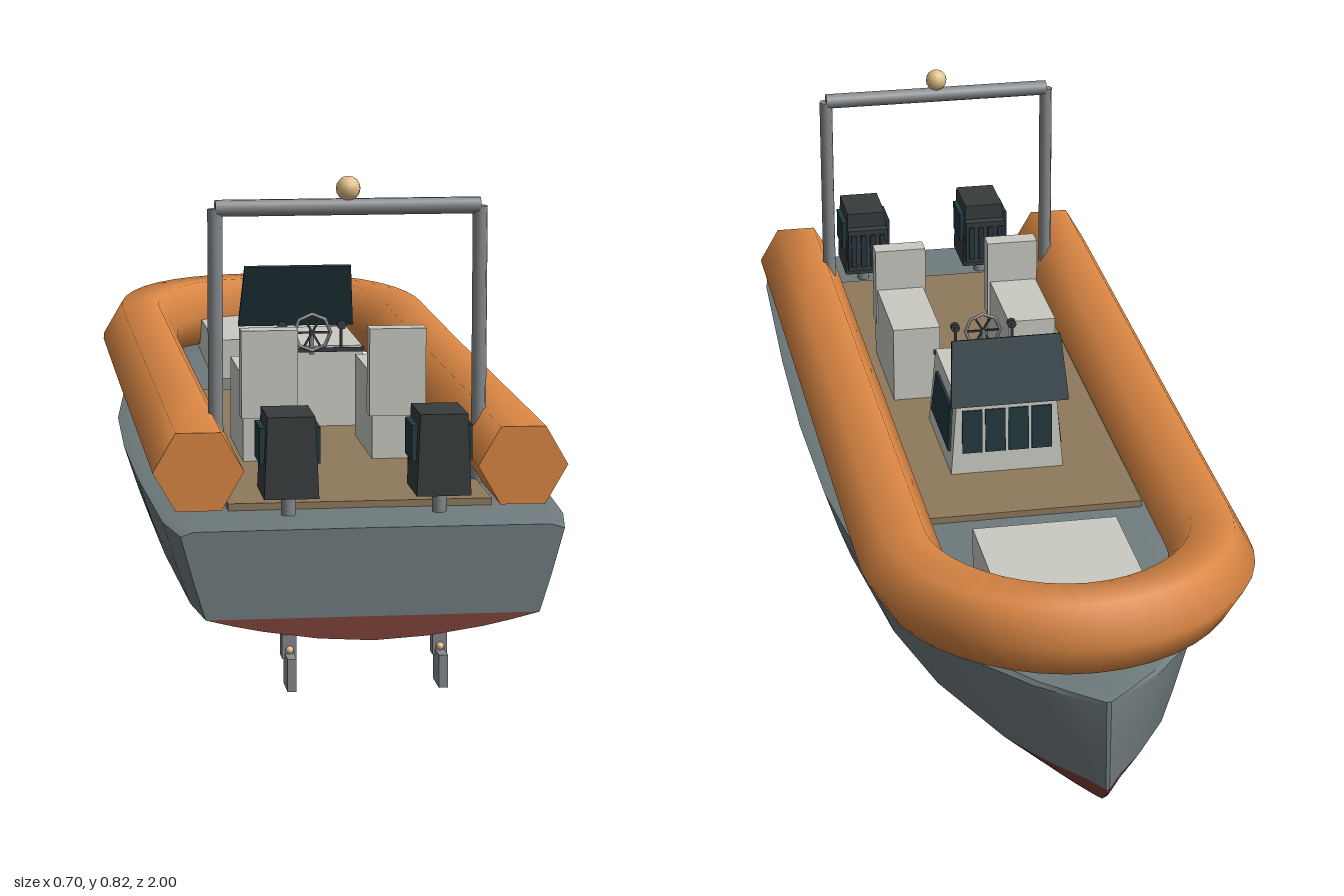
import * as THREE from 'three';
import { toCreasedNormals } from 'three/addons/utils/BufferGeometryUtils.js';

const paint = (color) => new THREE.MeshStandardMaterial({ color });
const MAT = {
  hull: paint(0x6f7b7e), bottom: paint(0x7c4038), tube: paint(0xdb8744), deck: paint(0x8f7a5c),
  white: paint(0xcacac3), dark: paint(0x373b3d), glass: paint(0x22383f), metal: paint(0x85898c), lamp: paint(0xe3c08a),
};

function add(parent, name, geo, mat, x = 0, y = 0, z = 0) {
  const m = new THREE.Mesh(geo, mat);
  m.name = name;
  m.position.set(x, y, z);
  parent.add(m);
  return m;
}

// Skin a row of rings of [x, y, z], with flat caps at both ends
function loft(rings, closed, crease) {
  const n = rings[0].length, idx = [], last = (rings.length - 1) * n;
  for (let i = 0; i < rings.length - 1; i++) {
    for (let j = 0; j < (closed ? n : n - 1); j++) {
      const a = i * n + j, b = i * n + (j + 1) % n;
      idx.push(a, a + n, b, b, a + n, b + n);
    }
  }
  for (let j = 1; j < n - 1; j++) idx.push(0, j, j + 1, last, last + j + 1, last + j);
  const g = new THREE.BufferGeometry();
  g.setAttribute('position', new THREE.Float32BufferAttribute(rings.flat(2), 3));
  g.setIndex(idx);
  return toCreasedNormals(g, crease);
}

// Box whose top face is scaled about its centre
function taperBox(w, h, d, sx, sz) {
  const g = new THREE.BoxGeometry(w, h, d), p = g.attributes.position;
  for (let i = 0; i < p.count; i++) {
    if (p.getY(i) > 0) p.setXYZ(i, p.getX(i) * sx, p.getY(i), p.getZ(i) * sz);
  }
  g.computeVertexNormals();
  return g;
}

function buildHull(boat) {
  // station: z, half beam, half chine, keel height, gunwale height
  const stations = [
    [1, 0.312, 0.272, 0.1, 0.278], [0.88, 0.332, 0.287, 0.076, 0.277], [0.5, 0.347, 0.301, 0.06, 0.275],
    [0.2, 0.352, 0.305, 0.053, 0.275], [-0.1, 0.345, 0.298, 0.052, 0.275], [-0.4, 0.314, 0.265, 0.055, 0.277],
    [-0.6, 0.268, 0.218, 0.06, 0.281], [-0.8, 0.182, 0.138, 0.069, 0.289], [-0.9, 0.108, 0.075, 0.08, 0.294],
    [-0.96, 0.048, 0.028, 0.098, 0.298], [-1, 0.004, 0.003, 0.132, 0.3],
  ];
  const CH = 0.14;
  const top = stations.map(([z, b, c, k, g]) => {
    const half = [[c, CH], [c + (b - c) * 0.45, CH + (g - CH) * 0.42], [b, g], [b * 0.93, g + 0.007]];
    return [...half.map(([x, y]) => [x, y, z]), [0, g + 0.008, z],
      ...half.reverse().map(([x, y]) => [-x, y, z])];
  });
  add(boat, 'hullSides', loft(top, false, 0.6), MAT.hull);
  const low = stations.map(([z, , c, k]) =>
    [-1, -0.83, -0.66, -0.33, 0, 0.33, 0.66, 0.83, 1].map((t) =>
      [t * c, k + (CH - k) * Math.pow(Math.abs(t), 1.8), z]));
  add(boat, 'hullBottom', loft(low, false, 0.6), MAT.bottom);
}

// Six-sided inflatable collar following a U around the bow
function buildCollar(boat) {
  const path = [[0.27, 0.85], [0.27, 0.4], [0.27, -0.1]];
  const N = 20;
  for (let i = 0; i <= N; i++) {
    const a = (i / N) * Math.PI;
    path.push([0.27 * Math.cos(a), -0.56 - 0.305 * Math.sin(a)]);
  }
  path.push([-0.27, -0.1], [-0.27, 0.4], [-0.27, 0.85]);
  const rings = path.map(([x, z], i) => {
    const p = path[Math.max(i - 1, 0)], q = path[Math.min(i + 1, path.length - 1)];
    const t = new THREE.Vector2(q[0] - p[0], q[1] - p[1]).normalize();
    const y = 0.353 + 0.02 * THREE.MathUtils.smoothstep(-z, 0.45, 0.86);
    return Array.from({ length: 6 }, (_, k) => {
      const c = 0.0755 * Math.cos(k * Math.PI / 3), s = 0.0755 * Math.sin(k * Math.PI / 3);
      return [x - t.y * c, y + s, z + t.x * c];
    });
  });
  add(boat, 'inflatableCollar', loft(rings, true, 1.2), MAT.tube);
}

function buildConsole(boat) {
  const g = new THREE.Group();
  g.name = 'console';
  boat.add(g);
  add(g, 'consoleBody', taperBox(0.214, 0.155, 0.25, 0.88, 0.94), MAT.white, 0, 0.3675, 0.02);
  for (const s of [-1, 1]) {
    const pane = add(g, 'sideWindow', taperBox(0.008, 0.085, 0.19, 1, 0.85), MAT.glass, s * 0.101, 0.375, 0.015);
    pane.rotation.z = s * 0.083;
    add(g, 'gauge', new THREE.CylinderGeometry(0.009, 0.009, 0.012, 8).rotateX(Math.PI / 2), MAT.dark, s * 0.055, 0.485, 0.142);
    add(g, 'gaugeStem', new THREE.CylinderGeometry(0.003, 0.003, 0.05, 6), MAT.dark, s * 0.055, 0.462, 0.138);
  }
  for (let i = 0; i < 4; i++) {
    add(g, 'frontWindow', new THREE.BoxGeometry(0.038, 0.085, 0.008), MAT.glass, -0.066 + i * 0.044, 0.38, -0.1)
      .rotation.x = 0.05;
  }
  // Raked windscreen
  add(g, 'windscreen', taperBox(0.222, 0.125, 0.008, 0.92, 1), MAT.glass, 0, 0.504, -0.111).rotation.x = 0.32;
  add(g, 'dashEdge', new THREE.BoxGeometry(0.195, 0.008, 0.008), MAT.dark, 0, 0.438, 0.137);
  // Steering wheel
  add(g, 'steeringWheel', new THREE.TorusGeometry(0.034, 0.0035, 6, 8), MAT.metal, 0, 0.472, 0.147);
  add(g, 'steeringColumn', new THREE.CylinderGeometry(0.005, 0.005, 0.045, 6), MAT.metal, 0, 0.452, 0.138);
  for (let i = 0; i < 3; i++) {
    add(g, 'wheelSpoke', new THREE.BoxGeometry(0.066, 0.004, 0.003), MAT.dark, 0, 0.472, 0.147)
      .rotation.z = i * Math.PI / 3;
  }
}

function buildSeat(boat, s) {
  const g = new THREE.Group();
  g.name = 'seat';
  boat.add(g);
  add(g, 'seatBase', new THREE.BoxGeometry(0.092, 0.15, 0.235), MAT.white, s * 0.114, 0.37, 0.355);
  add(g, 'seatBack', new THREE.BoxGeometry(0.1, 0.155, 0.038), MAT.white, s * 0.113, 0.45, 0.456);
}

function buildEngine(boat, s) {
  const g = new THREE.Group();
  g.name = 'outboardEngine';
  g.position.x = s * 0.125;
  boat.add(g);
  add(g, 'cowling', taperBox(0.09, 0.135, 0.115, 0.87, 0.95), MAT.dark, 0, 0.388, 0.873);
  for (const side of [-1, 1]) {
    add(g, 'sideVent', new THREE.BoxGeometry(0.012, 0.06, 0.08), MAT.glass, side * 0.044, 0.404, 0.865);
  }
  add(g, 'innerCowl', new THREE.BoxGeometry(0.082, 0.09, 0.026), MAT.dark, 0, 0.38, 0.81);
  for (let i = 0; i < 4; i++) {
    add(g, 'ventSlat', new THREE.BoxGeometry(0.011, 0.07, 0.008), MAT.glass, -0.03 + i * 0.02, 0.38, 0.795);
  }
  add(g, 'leg', new THREE.CylinderGeometry(0.012, 0.012, 0.28, 8), MAT.metal, 0, 0.19, 0.878);
  add(g, 'gearcase', new THREE.BoxGeometry(0.024, 0.04, 0.03), MAT.metal, 0, 0.066, 0.878);
  add(g, 'skeg', new THREE.BoxGeometry(0.015, 0.055, 0.064), MAT.metal, 0, 0.0275, 0.902);
  add(g, 'propellerHub', new THREE.SphereGeometry(0.007, 8, 6), MAT.lamp, 0, 0.061, 0.896);
}

function buildArch(boat) {
  const g = new THREE.Group();
  g.name = 'lightArch';
  boat.add(g);
  for (const s of [-1, 1]) {
    add(g, 'archPost', new THREE.CylinderGeometry(0.0128, 0.0128, 0.475, 8), MAT.metal, s * 0.225, 0.5275, 0.665);
  }
  add(g, 'archBar', new THREE.CylinderGeometry(0.0145, 0.0145, 0.45, 10).rotateZ(Math.PI / 2), MAT.metal, 0, 0.766, 0.665);
  add(g, 'lamp', new THREE.SphereGeometry(0.021, 12, 8), MAT.lamp, 0, 0.797, 0.665);
}

export function createModel() {
  const boat = new THREE.Group();
  boat.name = 'inflatableBoat';
  buildHull(boat);
  buildCollar(boat);
  add(boat, 'deck', new THREE.BoxGeometry(0.44, 0.014, 1.11), MAT.deck, 0, 0.289, 0.28);
  add(boat, 'bowCushion', new THREE.BoxGeometry(0.26, 0.08, 0.37), MAT.white, 0, 0.325, -0.645);
  buildConsole(boat);
  buildArch(boat);
  for (const s of [-1, 1]) {
    buildSeat(boat, s);
    buildEngine(boat, s);
  }
  return boat;
}
